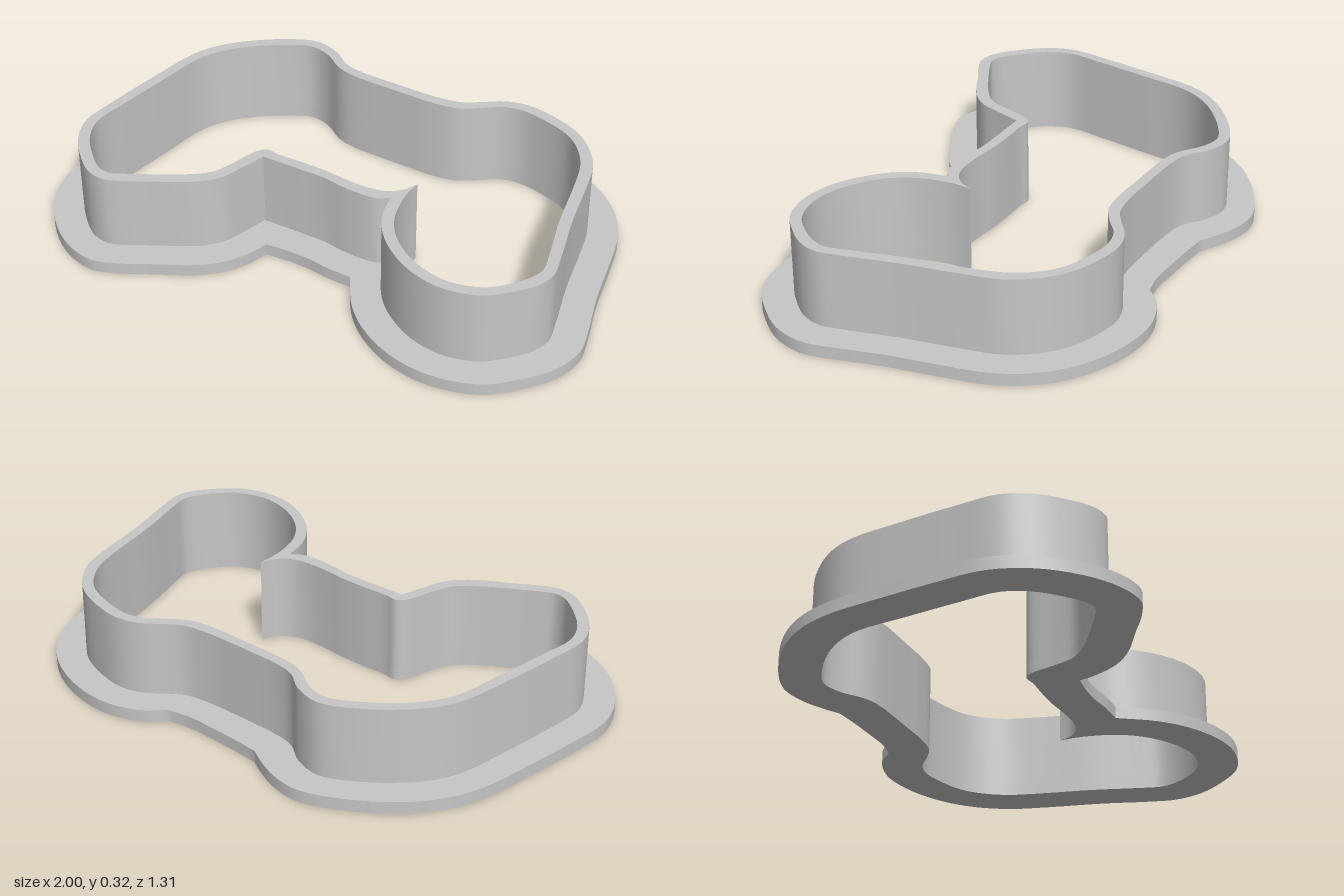
import * as THREE from 'three';
import { toCreasedNormals } from 'three/addons/utils/BufferGeometryUtils.js';

// Each outline is a loop of smooth runs [x, z, x, z, ...] meeting at sharp corners.
const FLANGE_EDGE = [
  [-0.197, -0.567, -0.1, -0.556, 0, -0.549, 0.11, -0.544, 0.189, -0.556],
  [0.189, -0.556, 0.245, -0.606, 0.325, -0.639, 0.418, -0.652, 0.563, -0.626, 0.703, -0.558, 0.803, -0.465,
    0.87, -0.345, 0.907, -0.185, 0.94, 0.005, 0.985, 0.185, 1, 0.285, 0.967, 0.395, 0.888, 0.495,
    0.783, 0.58, 0.618, 0.616, 0.474, 0.592, 0.344, 0.525, 0.249, 0.435, 0.173, 0.309],
  [0.173, 0.309, 0.08, 0.304, 0, 0.292, -0.09, 0.289, -0.165, 0.294],
  [-0.165, 0.294, -0.19, 0.365, -0.24, 0.445, -0.315, 0.508, -0.446, 0.575, -0.556, 0.63, -0.646, 0.655,
    -0.757, 0.625, -0.868, 0.545, -0.959, 0.425, -1, 0.285, -0.98, 0.115, -0.945, -0.075, -0.904, -0.265,
    -0.853, -0.38, -0.767, -0.485, -0.607, -0.596, -0.447, -0.655, -0.342, -0.641, -0.262, -0.606,
    -0.197, -0.567],
];
const WALL_OUTSIDE = [
  [-0.238, 0.178, -0.267, 0.265, -0.297, 0.345, -0.342, 0.397, -0.397, 0.435, -0.497, 0.485, -0.597, 0.537,
    -0.647, 0.551, -0.712, 0.535, -0.788, 0.473, -0.859, 0.385, -0.893, 0.285, -0.875, 0.135,
    -0.84, -0.065, -0.8, -0.25, -0.754, -0.34, -0.678, -0.421, -0.558, -0.506, -0.444, -0.55,
    -0.342, -0.521, -0.277, -0.471, -0.217, -0.451, 0, -0.437, 0.11, -0.435, 0.203, -0.447,
    0.263, -0.481, 0.333, -0.526, 0.417, -0.545, 0.522, -0.526, 0.637, -0.476, 0.712, -0.406,
    0.766, -0.316, 0.796, -0.185, 0.83, 0.005, 0.875, 0.195, 0.89, 0.285, 0.866, 0.355, 0.812, 0.42,
    0.732, 0.485, 0.618, 0.511, 0.503, 0.49, 0.403, 0.435, 0.323, 0.36, 0.272, 0.27, 0.252, 0.174],
  [0.252, 0.174, 0.212, 0.198, 0.15, 0.203, 0.08, 0.197, 0, 0.183, -0.1, 0.18, -0.238, 0.178],
];
const INSIDE = [
  [0.294, 0.063, 0.269, 0.112, 0.224, 0.147, 0.152, 0.16, 0.05, 0.153, 0, 0.146, -0.1, 0.141,
    -0.2, 0.141, -0.243, 0.135, -0.273, 0.158, -0.307, 0.255, -0.342, 0.335, -0.417, 0.395,
    -0.517, 0.45, -0.607, 0.495, -0.647, 0.51, -0.692, 0.5, -0.753, 0.45, -0.824, 0.365,
    -0.855, 0.275, -0.835, 0.135, -0.8, -0.055, -0.765, -0.235, -0.719, -0.32, -0.653, -0.391,
    -0.538, -0.471, -0.444, -0.51, -0.367, -0.491, -0.287, -0.436, -0.227, -0.415, 0, -0.399,
    0.11, -0.395, 0.203, -0.405, 0.278, -0.446, 0.338, -0.489, 0.417, -0.505, 0.512, -0.486,
    0.612, -0.446, 0.677, -0.386, 0.726, -0.3, 0.756, -0.175, 0.79, 0.015, 0.835, 0.195,
    0.85, 0.275, 0.831, 0.33, 0.787, 0.39, 0.722, 0.445, 0.618, 0.471, 0.518, 0.453,
    0.428, 0.405, 0.358, 0.34, 0.313, 0.26, 0.293, 0.174, 0.289, 0.122, 0.294, 0.063],
];

// Turn runs into one closed list of points, dropping each run's shared end point.
function tracePoints(runs) {
  return runs.flatMap((run) => {
    const knots = [];
    for (let i = 0; i < run.length; i += 2) knots.push(new THREE.Vector3(run[i], run[i + 1], 0));
    const curve = new THREE.CatmullRomCurve3(knots, false, 'centripetal');
    return curve.getPoints((knots.length - 1) * 4).slice(0, -1)
      .map((p) => new THREE.Vector2(p.x, p.y));
  });
}

// Upright band between two outlines, from height y0 to y1.
function band(name, outer, inner, y0, y1, material) {
  const shape = new THREE.Shape(tracePoints(outer));
  shape.holes.push(new THREE.Path(tracePoints(inner)));
  const geometry = new THREE.ExtrudeGeometry(shape, { depth: y1 - y0, bevelEnabled: false });
  geometry.rotateX(Math.PI / 2).translate(0, y1, 0);
  const mesh = new THREE.Mesh(toCreasedNormals(geometry, 0.6), material);
  mesh.name = name;
  return mesh;
}

export function createModel() {
  const model = new THREE.Group();
  model.name = 'cookieCutter';
  const grey = new THREE.MeshStandardMaterial({ color: 0xc6c6c6 });
  grey.name = 'light grey';

  // Wide grip rim at the bottom, thin cutting wall above it.
  model.add(band('gripFlange', FLANGE_EDGE, INSIDE, 0, 0.044, grey));
  model.add(band('cuttingWall', WALL_OUTSIDE, INSIDE, 0.044, 0.316, grey));
  return model;
}
